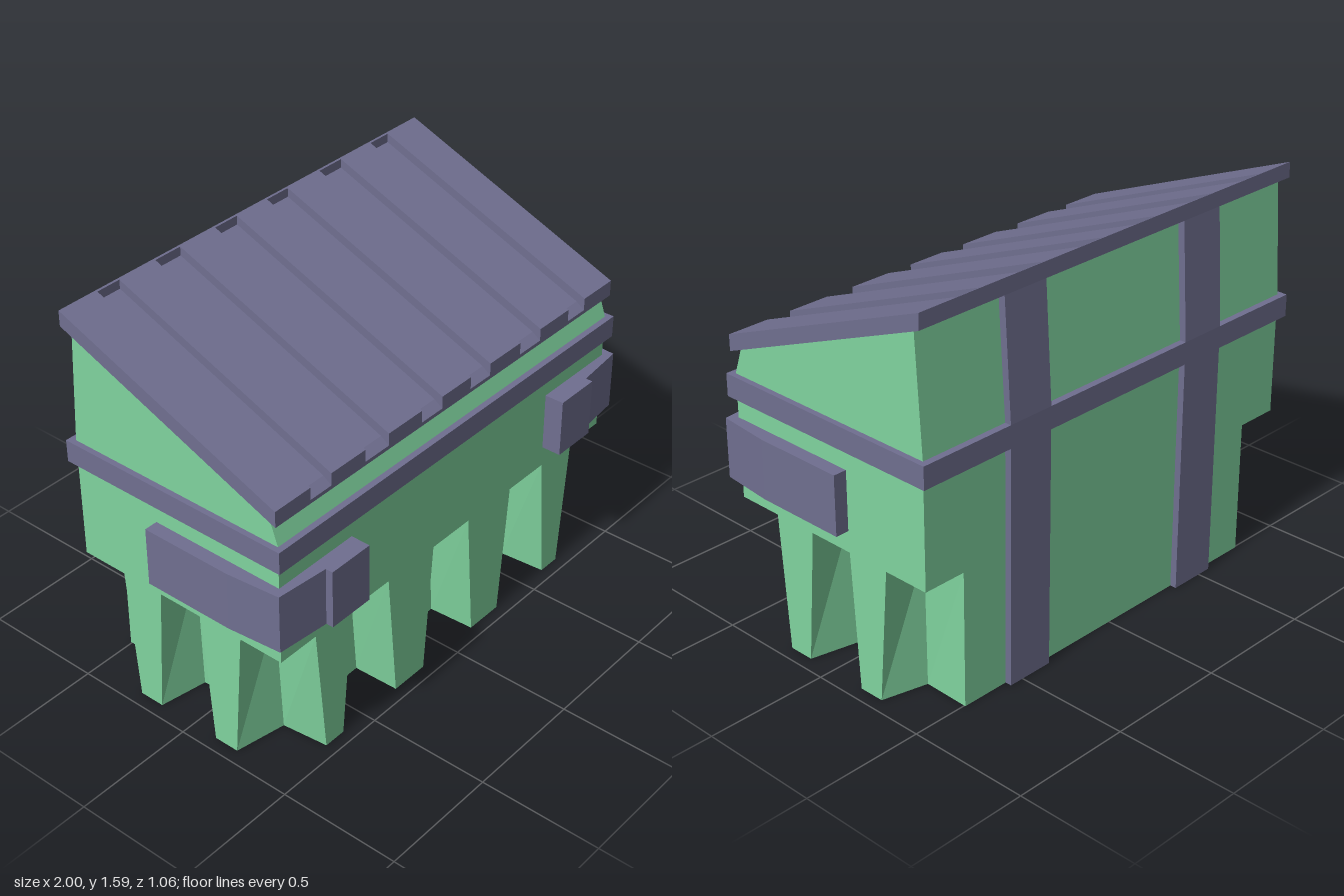
import * as THREE from 'three';

const green = new THREE.MeshStandardMaterial({ color: 0x80d49f });
green.name = 'green body';
const slate = new THREE.MeshStandardMaterial({ color: 0x706f90 });
slate.name = 'slate trim';

const toShape = (pts) => new THREE.Shape(pts.map(([a, b]) => new THREE.Vector2(a, b)));

// Extrude a [z, y] profile from x0 to x1
function alongX(pts, x0, x1) {
  const g = new THREE.ExtrudeGeometry(toShape(pts), { depth: x1 - x0, bevelEnabled: false });
  return g.rotateY(-Math.PI / 2).translate(x1, 0, 0);
}

// Extrude an [x, z] outline from y0 to y1
function alongY(pts, y0, y1) {
  const g = new THREE.ExtrudeGeometry(toShape(pts), { depth: y1 - y0, bevelEnabled: false });
  return g.rotateX(Math.PI / 2).translate(0, y1, 0);
}

// Walls between a top and a bottom outline, closed underneath; rows are [xTop, zTop, xBottom, zBottom]
function taperedBase(rows, height) {
  const pos = [];
  const top = (r) => [r[0], height, r[1]];
  const bottom = (r) => [r[2], 0, r[3]];
  rows.forEach((a, i) => {
    const b = rows[(i + 1) % rows.length];
    pos.push(...bottom(a), ...bottom(b), ...top(b), ...bottom(a), ...top(b), ...top(a));
  });
  const outline = rows.map((r) => new THREE.Vector2(r[2], -r[3]));
  for (const [a, b, c] of THREE.ShapeUtils.triangulateShape(outline, [])) {
    pos.push(...bottom(rows[a]), ...bottom(rows[c]), ...bottom(rows[b]));
  }
  const g = new THREE.BufferGeometry();
  g.setAttribute('position', new THREE.Float32BufferAttribute(pos, 3));
  g.computeVertexNormals();
  return g;
}

export function createModel() {
  const model = new THREE.Group();
  model.name = 'dumpster';
  const add = (name, geometry, material) => {
    const mesh = new THREE.Mesh(geometry, material);
    mesh.name = name;
    model.add(mesh);
  };

  // Lower body with tapering pegs on the front and sides
  const half = [
    [0.105, 0.26, 0.14, 0.26], [0.105, 0.45, 0.15, 0.45],
    [0.365, 0.45, 0.315, 0.45], [0.365, 0.26, 0.32, 0.26],
    [0.57, 0.26, 0.605, 0.26], [0.57, 0.45, 0.62, 0.45],
    [0.765, 0.45, 0.715, 0.45], [0.765, 0.26, 0.735, 0.26],
    [0.945, 0.26, 0.945, 0.22], [0.945, 0.07, 0.945, 0.115],
    [0.765, 0.07, 0.74, 0.07], [0.765, -0.125, 0.75, -0.125],
    [0.945, -0.125, 0.945, -0.16], [0.945, -0.31, 0.945, -0.265],
    [0.765, -0.31, 0.76, -0.31], [0.765, -0.505, 0.765, -0.505],
  ];
  const mirrored = half.map(([a, b, c, d]) => [-a, b, -c, d]).reverse();
  add('ribbedBase', taperedBase([...half, ...mirrored], 0.55), green);

  // Upper body with sloping top
  add('upperBody', alongX([
    [0.45, 0.55], [0.45, 1.05], [0.41, 1.165], [-0.475, 1.52], [-0.505, 1.05], [-0.505, 0.55],
  ], -0.945, 0.945), green);

  // Belt around the body
  const belt = new THREE.BoxGeometry(1.936, 0.09, 1.007);
  add('belt', belt.translate(0, 1.005, -0.0285), slate);

  // Sloping lid, full-height strips alternating with sunken grooves
  const ridge = [[0.455, 1.14], [0.455, 1.205], [-0.515, 1.587], [-0.515, 1.525]];
  const groove = [
    [0.455, 1.14], [0.455, 1.155], [0.42, 1.18], [-0.508, 1.548],
    [-0.508, 1.584], [-0.515, 1.587], [-0.515, 1.525],
  ];
  const edges = [-0.96, -0.785, -0.68, -0.503, -0.378, -0.197, -0.082];
  const cuts = [...edges, ...edges.map((x) => -x).reverse()];
  for (let i = 0; i < cuts.length - 1; i++) {
    const sunken = i % 2 === 1;
    add(sunken ? 'lidGroove' : 'lidRidge', alongX(sunken ? groove : ridge, cuts[i], cuts[i + 1]), slate);
  }

  for (const s of [-1, 1]) {
    // Lifting pocket wrapped round each front corner
    const pocket = [
      [0.94, -0.122], [1, -0.122], [1, 0.26], [0.98, 0.48], [0.765, 0.5],
      [0.765, 0.53], [0.57, 0.53], [0.57, 0.445], [0.94, 0.445],
    ];
    add(s > 0 ? 'leftPocket' : 'rightPocket',
      alongY(pocket.map(([x, z]) => [s * x, z]), 0.635, 0.875), slate);

    // Upright brace on the back
    add(s > 0 ? 'leftBackBrace' : 'rightBackBrace', alongX([
      [-0.5, 0], [-0.532, 0], [-0.532, 1.05], [-0.503, 1.53], [-0.47, 1.51], [-0.5, 1.05],
    ], s * 0.46 - 0.1, s * 0.46 + 0.1), slate);
  }

  return model;
}
